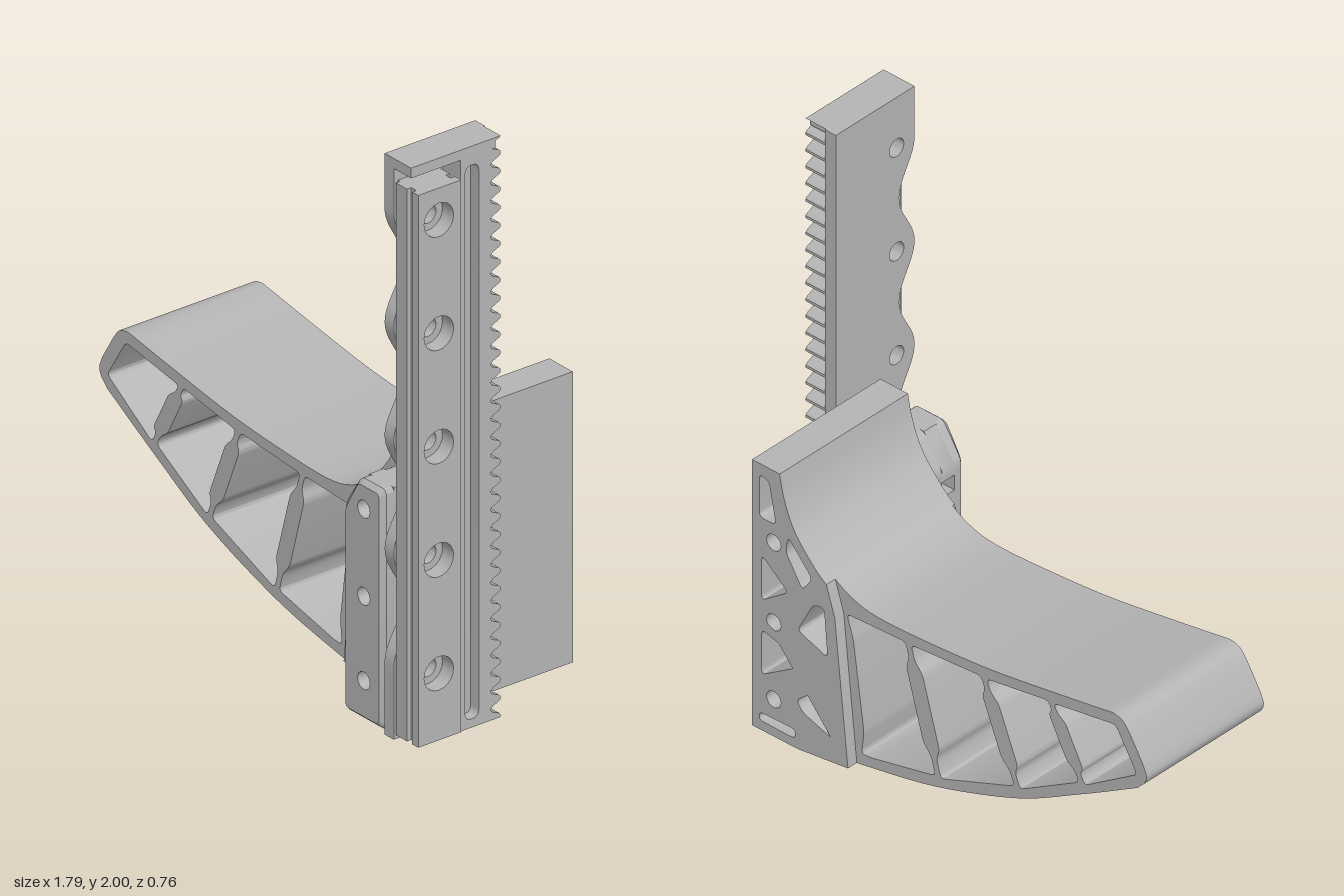
import * as THREE from 'three';
import { toCreasedNormals } from 'three/addons/utils/BufferGeometryUtils.js';

const grey = new THREE.MeshStandardMaterial({ color: 0xb4b4b4 });
grey.name = 'machinedGrey';

// Traces a polygon with softened corners
function rounded(points, r, path = new THREE.Path()) {
  const n = points.length;
  const toward = (p, q) => {
    const k = Math.min(r / Math.hypot(q[0] - p[0], q[1] - p[1]), 0.45);
    return [p[0] + (q[0] - p[0]) * k, p[1] + (q[1] - p[1]) * k];
  };
  points.forEach((p, i) => {
    const a = toward(p, points[(i + n - 1) % n]);
    const b = toward(p, points[(i + 1) % n]);
    if (i === 0) path.moveTo(...a); else path.lineTo(...a);
    path.quadraticCurveTo(...p, ...b);
  });
  path.closePath();
  return path;
}

// Outline wound counterclockwise, so that walls of its holes face inward
function polygon(pts) {
  const points = pts.map((p) => new THREE.Vector2(...p));
  if (THREE.ShapeUtils.isClockWise(points)) points.reverse();
  return new THREE.Shape(points);
}

const rect = (x0, y0, x1, y1) => polygon([[x0, y0], [x1, y0], [x1, y1], [x0, y1]]);
const circle = (x, y, r) => new THREE.Path().absarc(x, y, r, 0, Math.PI * 2, true);
const curve = (pts, n = 24) =>
  new THREE.SplineCurve(pts.map((p) => new THREE.Vector2(...p))).getPoints(n).map((p) => [p.x, p.y]);

function mesh(name, geometry) {
  const m = new THREE.Mesh(toCreasedNormals(geometry, 0.6), grey);
  m.name = name;
  return m;
}

const extrude = (shape, depth) =>
  new THREE.ExtrudeGeometry(shape, { depth, curveSegments: 10, bevelEnabled: false });

// Extrudes an (x, y) shape along z
const alongZ = (name, shape, z0, z1) => mesh(name, extrude(shape, z1 - z0).translate(0, 0, z0));

// Extrudes a (-z, y) shape along x
const alongX = (name, shape, x0, x1) =>
  mesh(name, extrude(shape, x1 - x0).rotateY(Math.PI / 2).translate(x0, 0, 0));

// One side of a rib, from bottom to top, with a thicker middle
function ribSide([bottom, top], side) {
  const at = (t, w) => [
    bottom[0] + (top[0] - bottom[0]) * t + side * w,
    bottom[1] + (top[1] - bottom[1]) * t,
  ];
  return [at(0, 0.012), at(0.15, 0.012), at(0.23, 0.034), at(0.8, 0.034), at(0.88, 0.012), at(1, 0.012)];
}

function makeArm() {
  const shape = polygon([
    ...curve([[-0.76, 0.735], [-0.5, 0.69], [-0.22, 0.647], [0.095, 0.622], [0.25, 0.622], [0.34, 0.645], [0.4, 0.678]]),
    [0.365, 0.57], [0.31, 0.03],
    ...curve([[0.28, 0.035], [-0.02, 0.1], [-0.36, 0.22], [-0.62, 0.36], [-0.86, 0.5]]),
    ...curve([[-0.89, 0.53], [-0.9, 0.56], [-0.885, 0.6]], 6),
    ...curve([[-0.83, 0.69], [-0.8, 0.725], [-0.76, 0.735]], 6).slice(0, -1),
  ]);
  // Open cells between the ribs
  const ribs = [
    [[-0.63, 0.405], [-0.5, 0.65]],
    [[-0.36, 0.26], [-0.22, 0.607]],
    [[-0.03, 0.14], [0.095, 0.583]],
  ];
  const cells = [[[-0.86, 0.55], [-0.77, 0.695], ...ribSide(ribs[0], -1).reverse()]];
  for (let i = 0; i < 2; i++) cells.push([...ribSide(ribs[i], 1), ...ribSide(ribs[i + 1], -1).reverse()]);
  cells.push([...ribSide(ribs[2], 1), [0.352, 0.57], [0.325, 0.49], [0.28, 0.16], [0.29, 0.075], [0.25, 0.078]]);
  shape.holes = cells.map((c) => rounded(c, 0.018));
  return alongZ('ribbedArm', shape, -0.34, 0.19);
}

const boltHeights = [0.14, 0.43, 0.73];

function makeBracket() {
  const group = new THREE.Group();
  group.name = 'trussBracket';
  // Openings that run right through, then those only sunk from the back
  const through = [
    [[0.41, 0.585], [0.455, 0.575], [0.52, 0.45], [0.395, 0.405]],
    [[0.37, 0.295], [0.41, 0.28], [0.525, 0.185], [0.5, 0.15], [0.345, 0.1]],
    [[0.485, 0.33], [0.67, 0.38], [0.67, 0.21]],
    [[0.56, 0.57], [0.67, 0.66], [0.67, 0.49]],
  ];
  const sunk = [
    [[0.46, 0.67], [0.5, 0.61], [0.57, 0.72], [0.56, 0.78]],
    [[0.68, 0.96], [0.64, 0.95], [0.61, 0.8], [0.68, 0.8]],
    [[0.53, 0.035], [0.68, 0.035], [0.68, 0.065], [0.53, 0.07]],
  ];
  const layer = (name, openings, z0, z1) => {
    const shape = polygon([
      [0.31, 0.03], [0.365, 0.57],
      ...curve([[0.4, 0.678], [0.45, 0.718], [0.53, 0.81], [0.575, 0.91], [0.595, 1]], 16),
      [0.71, 1], [0.71, 0], [0.52, 0.002],
    ]);
    shape.holes = openings.map((o) => rounded(o, 0.02));
    boltHeights.forEach((y) => shape.holes.push(circle(0.62, y, 0.03)));
    group.add(alongZ(name, shape, z0, z1));
  };
  layer('bracketBack', [...through, ...sunk], -0.38, 0);
  layer('bracketFront', through, 0, 0.2);
  return group;
}

// Block with bolt holes along z and two cross channels along x
function makeMountingBlock() {
  const group = new THREE.Group();
  group.name = 'mountingBlock';
  const outline = () => {
    const shape = rounded(
      [[0.515, 0], [0.71, 0], [0.71, 0.825], [0.59, 0.825], [0.515, 0.71]], 0.02, new THREE.Shape());
    shape.holes = boltHeights.map((y) => circle(0.62, y, 0.03));
    return shape;
  };
  // Face layer whose rim is drawn in at height zRim to make a chamfer
  const face = (name, z0, z1, zRim) => {
    const g = extrude(outline(), z1 - z0).translate(0, 0, z0);
    const p = g.attributes.position;
    for (let i = 0; i < p.count; i++) {
      const x = p.getX(i), y = p.getY(i);
      const inHole = boltHeights.some((h) => Math.hypot(x - 0.62, y - h) < 0.04);
      if (Math.abs(p.getZ(i) - zRim) < 1e-4 && !inHole) {
        p.setXY(i, 0.6125 + (x - 0.6125) * 0.84, 0.4125 + (y - 0.4125) * 0.962);
      }
    }
    group.add(mesh(name, g));
  };
  face('blockBackFace', 0.2, 0.217, 0.2);
  group.add(alongZ('blockBack', outline(), 0.217, 0.267));
  const slices = [
    rect(0.515, 0, 0.71, 0.222),
    rect(0.515, 0.278, 0.71, 0.612),
    polygon([[0.515, 0.668], [0.71, 0.668], [0.71, 0.825], [0.59, 0.825], [0.515, 0.71]]),
  ];
  slices.forEach((shape, i) => {
    shape.holes.push(circle(0.62, boltHeights[i], 0.03));
    group.add(alongZ('blockCore', shape, 0.267, 0.323));
  });
  group.add(alongZ('blockFront', outline(), 0.323, 0.353));
  face('blockFrontFace', 0.353, 0.37, 0.37);
  return group;
}

function makeRailAssembly() {
  const group = new THREE.Group();
  group.name = 'railAssembly';
  const holeYs = [0, 1, 2, 3, 4].map((i) => 0.25 + i * 0.39);
  const drill = (shape, r) => {
    holeYs.forEach((y) => shape.holes.push(circle(-0.295, y, r)));
    return shape;
  };

  // Back plate, its front edge scalloped between the holes
  const edge = [];
  for (let i = 0; i <= 100; i++) {
    const y = i * 0.02;
    const inside = y > 0.25 && y < 1.81;
    const dip = inside ? 0.07 * (0.5 - 0.5 * Math.cos((y - 0.25) / 0.39 * Math.PI * 2)) : 0;
    edge.push([-0.376 + dip, y]);
  }
  const plate = polygon([[-0.02, 2], [-0.02, 0], ...edge]);
  group.add(alongX('scallopedPlate', drill(plate, 0.033), 0.73, 0.775));

  // End cap
  group.add(alongX('endCap', rect(-0.376, 1.965, -0.045, 2), 0.775, 0.86));

  // Linear rail in layers: foot, base, waist and counterbored head
  group.add(alongX('railFoot', drill(rect(-0.36, 0.02, -0.224, 1.92), 0.033), 0.775, 0.785));
  group.add(alongX('railBase', drill(rect(-0.376, 0.02, -0.208, 1.92), 0.033), 0.785, 0.84));
  group.add(alongX('railWaist', drill(rect(-0.36, 0.02, -0.224, 1.92), 0.058), 0.84, 0.865));
  group.add(alongX('railHead', drill(rect(-0.376, 0.02, -0.208, 1.92), 0.058), 0.865, 0.895));

  // Toothed rack with a long rounded groove
  const teeth = [];
  const count = 32, pitch = 2 / count;
  for (let i = 0; i < count; i++) {
    [[0, 0.024], [0.15, 0.024], [0.25, 0.03], [0.42, 0.055], [0.52, 0.062], [0.65, 0.062], [0.75, 0.055], [0.92, 0.03]]
      .forEach(([t, z]) => teeth.push([-z, (i + t) * pitch]));
  }
  teeth.push([-0.024, 2]);
  const rack = () => polygon([[-0.085, 2], [-0.085, 1.965], [-0.182, 1.965], [-0.182, 0], ...teeth]);
  group.add(alongX('rackBase', rack(), 0.775, 0.82));
  const top = rack();
  top.holes.push(rounded([[-0.164, 0.03], [-0.11, 0.03], [-0.11, 1.935], [-0.164, 1.935]], 0.027));
  group.add(alongX('rackFace', top, 0.82, 0.86));
  return group;
}

export function createModel() {
  const model = new THREE.Group();
  model.name = 'railMountedArm';
  model.add(makeArm(), makeBracket(), makeMountingBlock(), makeRailAssembly());
  return model;
}
